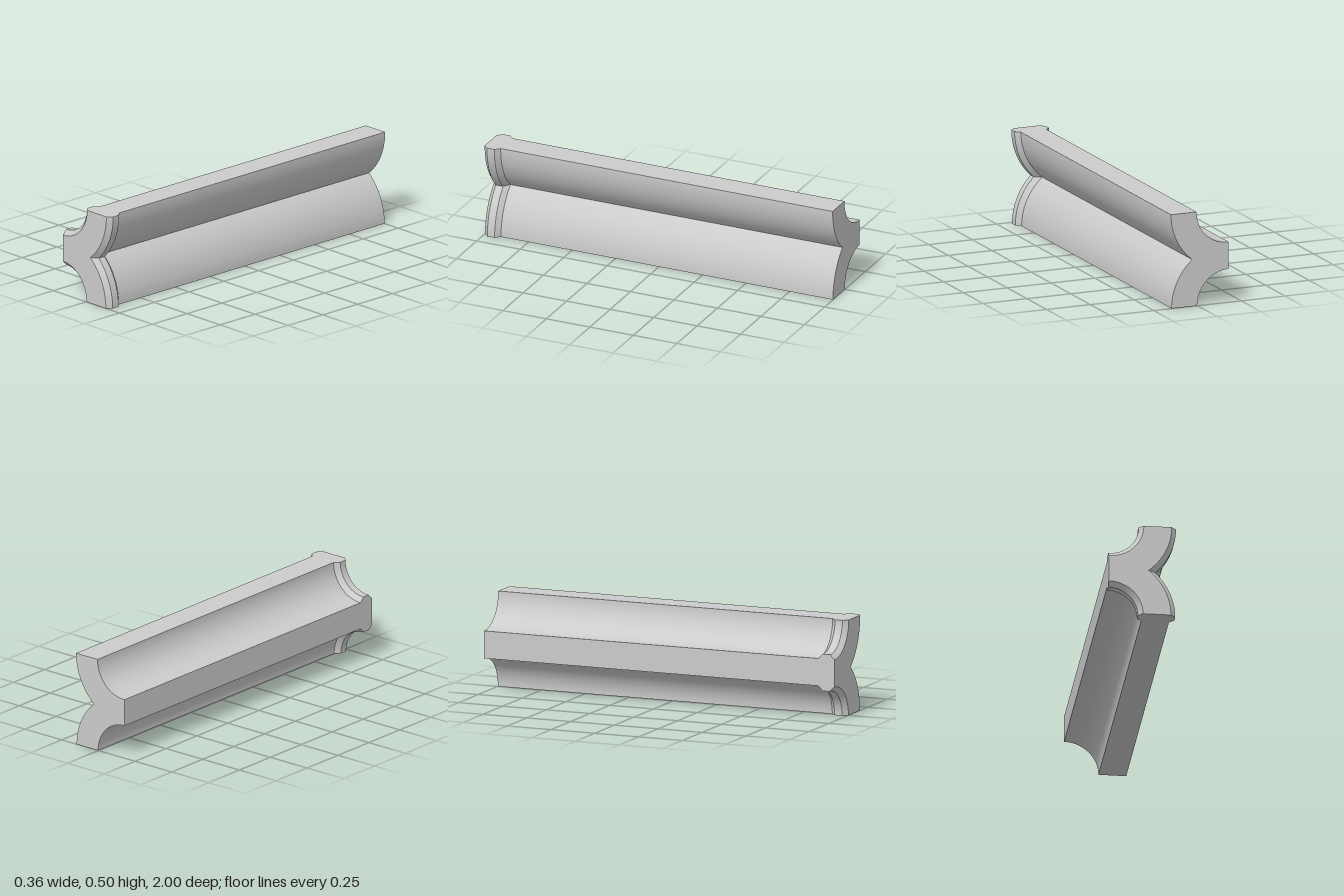
import * as THREE from 'three';
import { toCreasedNormals } from 'three/addons/utils/BufferGeometryUtils.js';

const LOW = new THREE.Vector2(-0.178, 0);     // centre of the lower quarter ring
const HIGH = new THREE.Vector2(-0.174, 0.505); // centre of the upper quarter ring
const INNER = 0.18, OUTER = 0.326, STEPS = 24;

function arc(c, r, a0, a1, skipFirst = false) {
  const pts = [];
  for (let i = skipFirst ? 1 : 0; i <= STEPS; i++) {
    const a = a0 + (a1 - a0) * i / STEPS;
    pts.push(new THREE.Vector2(c.x + r * Math.cos(a), c.y + r * Math.sin(a)));
  }
  return pts;
}

// Two merged quarter rings, thickened by d, counter-clockwise from the front
function section(d) {
  const ro = OUTER + d, ri = INNER - d;
  const axis = HIGH.clone().sub(LOW), len = axis.length();
  const h = Math.sqrt(ro * ro - len * len / 4);
  const notch = LOW.clone().add(HIGH).multiplyScalar(0.5)
    .add(new THREE.Vector2(axis.y, -axis.x).multiplyScalar(h / len));
  const angle = c => Math.atan2(notch.y - c.y, notch.x - c.x);
  return [
    ...arc(LOW, ro, 0, angle(LOW)),
    ...arc(HIGH, ro, angle(HIGH), 0, true),
    ...arc(HIGH, ri, 0, -Math.acos((LOW.x - HIGH.x) / ri)),
    ...arc(LOW, ri, Math.PI / 2, 0),
  ];
}

// Skins a run of [z, thickening] stations from back to front, with end caps
function loft(stations) {
  const rings = stations.map(([z, d]) => section(d).map(p => [p.x, p.y, z]));
  const n = rings[0].length, last = rings.length - 1;
  const index = [];
  for (let s = 0; s < last; s++) {
    for (let i = 0; i < n; i++) {
      const j = (i + 1) % n;
      const a = s * n + i, b = s * n + j;
      index.push(a, b, b + n, a, b + n, a + n);
    }
  }
  const cap = (s, front) => {
    const outline = section(stations[s][1]);
    for (const [a, b, c] of THREE.ShapeUtils.triangulateShape(outline, [])) {
      const o = s * n;
      if (front) index.push(o + a, o + b, o + c);
      else index.push(o + a, o + c, o + b);
    }
  };
  cap(0, false);
  cap(last, true);
  const geo = new THREE.BufferGeometry();
  geo.setAttribute('position', new THREE.Float32BufferAttribute(rings.flat(2), 3));
  geo.setIndex(index);
  return toCreasedNormals(geo, Math.PI / 7);
}

export function createModel() {
  const group = new THREE.Group();
  group.name = 'doubleCurvedMoulding';
  const material = new THREE.MeshStandardMaterial({ color: 0xcccccc });
  // Long plain body ending in a chamfered lip at the front
  const rail = new THREE.Mesh(
    loft([[-1, 0], [0.908, 0], [0.933, 0.025], [0.975, 0.025], [1, 0]]), material);
  rail.name = 'railWithFrontLip';
  group.add(rail);
  return group;
}
